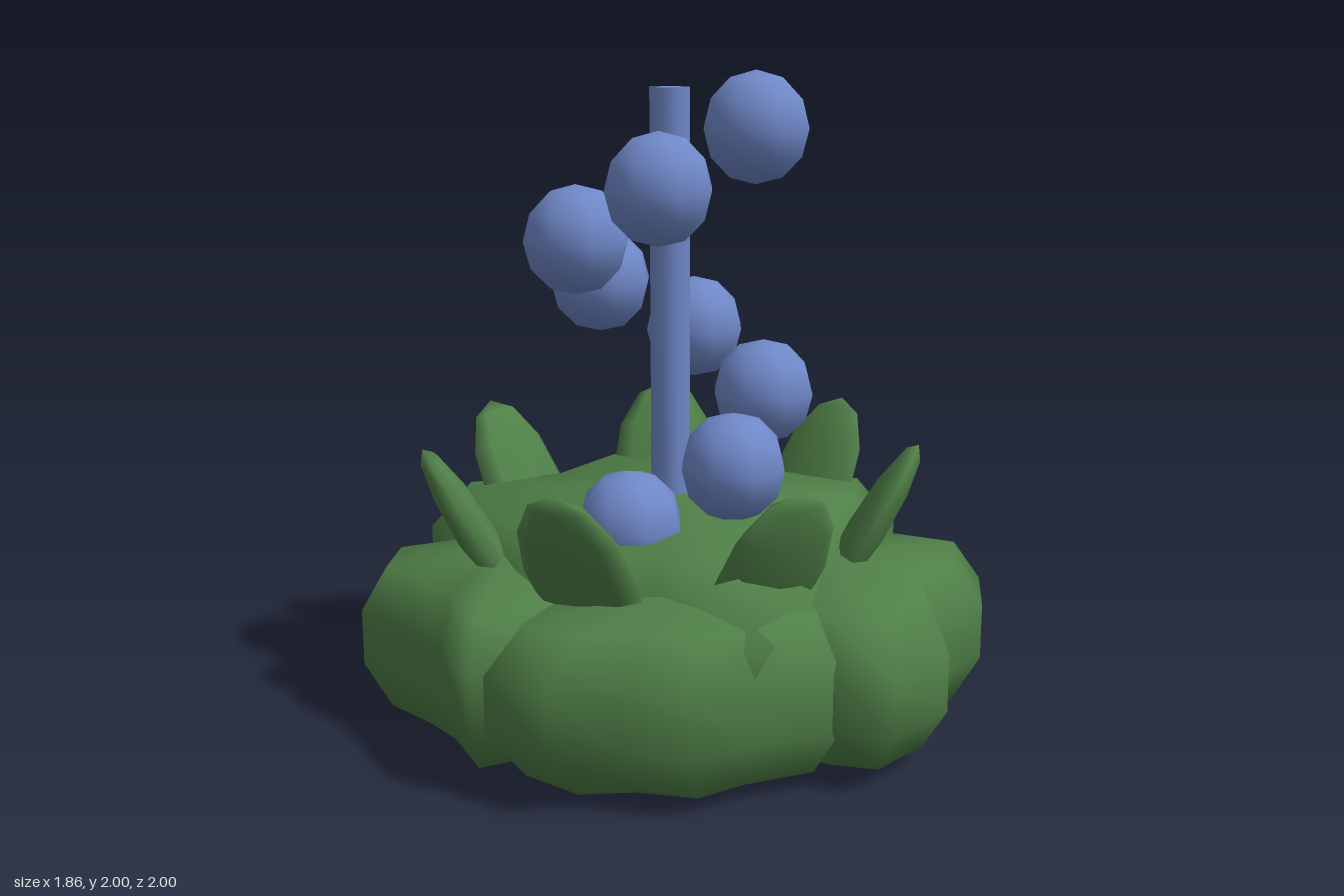
import * as THREE from 'three';

const green = new THREE.MeshStandardMaterial({ color: 0x4f7f47 });
const blue = new THREE.MeshStandardMaterial({ color: 0x6f88c8 });
const CX = -0.035, CZ = 0.065; // axis of the plant

// Flattened cushion: an irregular footprint [x, z] around a centre, rounded at top and bottom
function cushion(name, [cx, cz], midY, halfY, outline) {
  const points = outline
    .map(([x, z]) => [x - cx, z - cz])
    .sort((a, b) => Math.atan2(a[1], a[0]) - Math.atan2(b[1], b[0]));
  const n = points.length;
  const pos = [cx, midY + halfY, cz], index = [];
  const rings = [[0.81, 0.82], [0.31, 1], [-0.31, 1], [-0.81, 0.82]]; // [height, width]
  for (const [h, w] of rings)
    for (const [x, z] of points) pos.push(cx + x * w, midY + h * halfY, cz + z * w);
  pos.push(cx, midY - halfY, cz);
  const last = 1 + rings.length * n;
  for (let j = 0; j < n; j++) {
    const k = (j + 1) % n;
    index.push(0, 1 + k, 1 + j);
    for (let i = 0; i < rings.length - 1; i++) {
      const a = 1 + i * n + j, b = 1 + i * n + k;
      index.push(a, b, a + n, b, b + n, a + n);
    }
    index.push(last, last - n + j, last - n + k);
  }
  const geo = new THREE.BufferGeometry();
  geo.setAttribute('position', new THREE.Float32BufferAttribute(pos, 3));
  geo.setIndex(index);
  geo.computeVertexNormals();
  const mesh = new THREE.Mesh(geo, green);
  mesh.name = name;
  return mesh;
}

export function createModel() {
  const model = new THREE.Group();
  model.name = 'floweringPlant';

  // Central mound
  model.add(cushion('mound', [CX, CZ], 0.355, 0.35, [
    [-0.93, 0.065], [-0.66, -0.19], [-0.59, -0.57], [-0.3, -0.61], [0.1, -0.58], [0.5, -0.62],
    [0.57, -0.35], [0.56, -0.1], [0.57, 0.2], [0.6, 0.46], [0.5, 0.7], [0.2, 0.66],
    [-0.1, 0.73], [-0.35, 0.6], [-0.68, 0.35],
  ]));

  // Four lower lobes spread around the mound
  model.add(cushion('leftLobe', [0.48, 0.06], 0.285, 0.28, [
    [0.62, -0.43], [0.85, -0.42], [0.92, -0.17], [0.84, 0.05], [0.93, 0.27], [0.84, 0.51],
    [0.66, 0.54], [0.2, 0.42], [0.04, 0.06], [0.2, -0.3],
  ]));
  model.add(cushion('backLobe', [0, -0.5], 0.285, 0.28, [
    [0.41, -0.61], [0.33, -0.9], [0.12, -1], [-0.09, -0.9], [-0.2, -0.76], [-0.51, -0.74],
    [-0.47, -0.5], [-0.3, -0.2], [0, -0.08], [0.35, -0.25],
  ]));
  model.add(cushion('rightLobe', [-0.42, 0.44], 0.285, 0.28, [
    [-0.9, 0.42], [-0.82, 0.64], [-0.6, 0.72], [-0.44, 0.8], [-0.24, 0.97], [-0.05, 0.75],
    [0, 0.45], [-0.2, 0.1], [-0.45, -0.02], [-0.75, 0.25],
  ]));
  model.add(cushion('frontLobe', [0.25, 0.5], 0.285, 0.28, [
    [-0.21, 0.94], [0.02, 0.995], [0.2, 0.9], [0.4, 0.86], [0.51, 0.7], [0.69, 0.52],
    [0.62, 0.3], [0.3, 0.05], [0, 0.15], [-0.2, 0.45],
  ]));

  // Ring of seven pointed leaves leaning outwards
  const leafGeo = new THREE.SphereGeometry(1, 8, 6);
  for (let i = 0; i < 7; i++) {
    const holder = new THREE.Group();
    holder.name = 'leaf' + (i + 1);
    holder.position.set(CX, 0.6, CZ);
    holder.rotation.y = (i * Math.PI * 2) / 7;
    const leaf = new THREE.Mesh(leafGeo, green);
    leaf.scale.set(0.185, 0.32, 0.06);
    leaf.position.z = 0.62;
    leaf.rotation.x = 0.5;
    holder.add(leaf);
    model.add(holder);
  }

  // Stem
  const stem = new THREE.Mesh(new THREE.CylinderGeometry(0.065, 0.065, 1.4, 8), blue);
  stem.name = 'stem';
  stem.position.set(CX, 1.25, CZ);
  model.add(stem);

  // Blossoms climbing in a spiral round the stem
  const blossomGeo = new THREE.SphereGeometry(0.165, 8, 6);
  for (let i = 0; i < 8; i++) {
    const blossom = new THREE.Mesh(blossomGeo, blue);
    blossom.name = 'blossom' + (i + 1);
    blossom.position.set(CX + 0.3 * Math.sin(i * 1.1), 0.67 + i * 0.167, CZ + 0.3 * Math.cos(i * 1.1));
    model.add(blossom);
  }
  return model;
}
